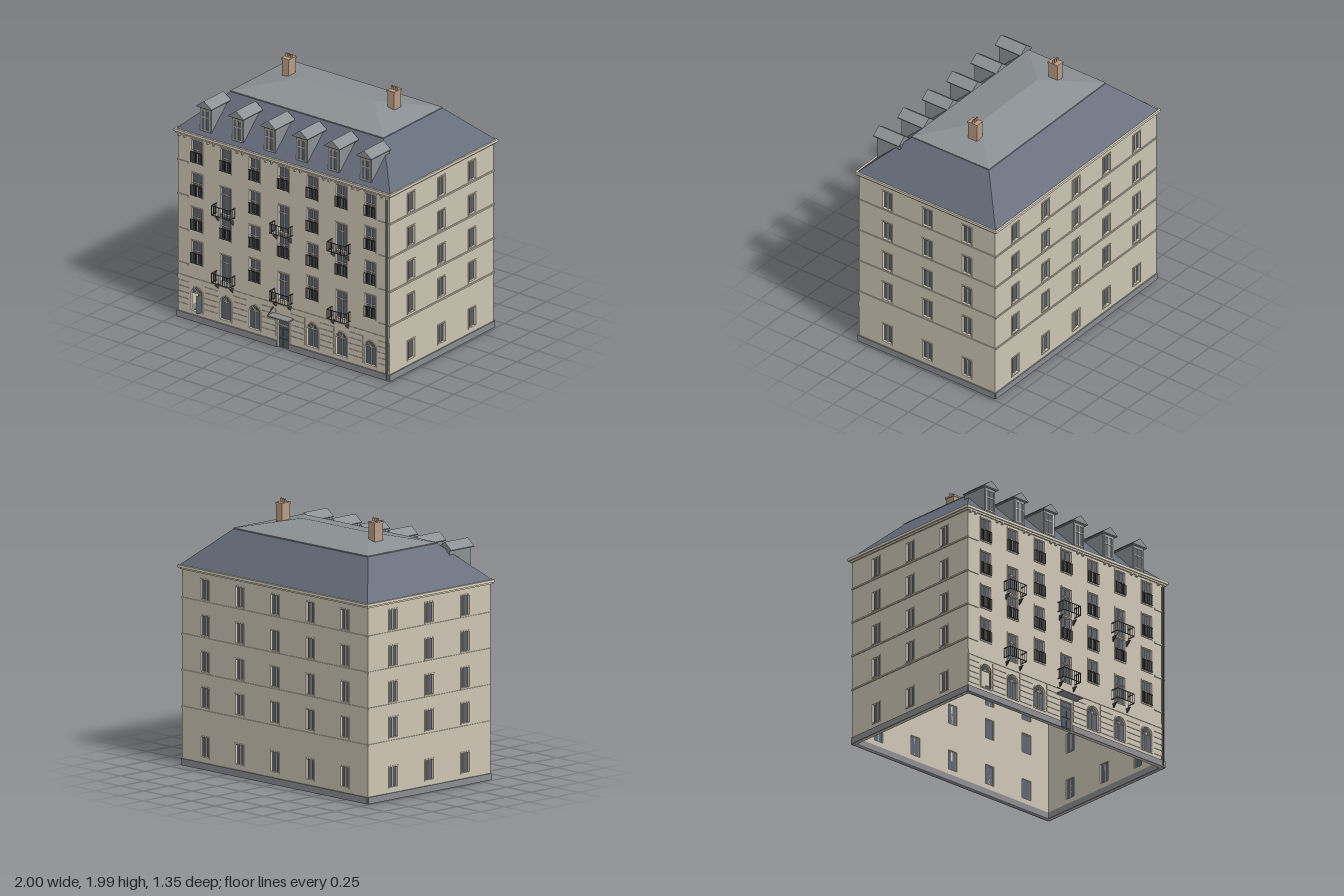
import * as THREE from 'three';

const mat = (name, color, side = THREE.FrontSide) => {
  const m = new THREE.MeshStandardMaterial({ color, side });
  m.name = name;
  return m;
};
const M = {
  wall: mat('cream render', 0xcdc5b4),
  trim: mat('pale trim', 0xd8d0be),
  stone: mat('grey stone', 0x8c8d91),
  slate: mat('slate', 0x636a78, THREE.DoubleSide),
  zinc: mat('zinc', 0x8a9093, THREE.DoubleSide),
  glass: mat('window glass', 0x5a6270, THREE.DoubleSide),
  brick: mat('chimney brick', 0xb89c86),
  iron: mat('wrought iron', 0x4c4b49),
  door: mat('door paint', 0x4f5764),
};
const HW = 0.977, HD = 0.625, T = 0.025, TOP = 1.47, CZ = -0.025;

function add(parent, name, geo, m, x = 0, y = 0, z = 0) {
  const mesh = new THREE.Mesh(geo, m);
  mesh.name = name;
  mesh.position.set(x, y, z);
  parent.add(mesh);
  return mesh;
}
const box = (p, name, m, w, h, d, x, y, z) => add(p, name, new THREE.BoxGeometry(w, h, d), m, x, y, z);

// Outline of an opening, square or round-headed, grown by g on all sides
function outline(Type, { x, y, w, h, arch }, g = 0) {
  const s = new Type(), r = w / 2 + g, top = y + h - (arch ? w / 2 : -g);
  s.moveTo(x - r, y - g);
  s.lineTo(x + r, y - g);
  s.lineTo(x + r, top);
  if (arch) s.absarc(x, top, r, 0, Math.PI, false);
  else s.lineTo(x - r, top);
  s.closePath();
  return s;
}
const extrude = (shape, depth) => new THREE.ExtrudeGeometry(shape, { depth, bevelEnabled: false, curveSegments: 10 });

// Surround, panes and glazing bars of one window; outer wall face is z = 0
function addWindow(p, o) {
  const { x, y, w, h, arch, open, bar = 0.008, transom } = o;
  const ring = outline(THREE.Shape, o, 0.005);
  ring.holes.push(outline(THREE.Path, o, -0.004));
  add(p, 'windowSurround', extrude(ring, 0.022), M.trim, 0, 0, -0.016);
  const spring = y + h - w / 2;
  if (open) {
    const head = { x, y: spring, w, h: w / 2, arch };
    add(p, 'fanlightGlass', new THREE.ShapeGeometry(outline(THREE.Shape, head)), M.glass, 0, 0, -0.014);
    // Casement standing open into the room
    const leaf = new THREE.Group();
    leaf.name = 'openCasement';
    leaf.position.set(x + w / 2, y, -0.012);
    leaf.rotation.y = 0.95;
    box(leaf, 'casementPane', M.glass, w / 2, spring - y, 0.004, -w / 4, (spring - y) / 2, 0);
    for (const u of [-w / 2, 0]) box(leaf, 'casementStile', M.trim, 0.006, spring - y, 0.008, u, (spring - y) / 2, 0);
    p.add(leaf);
  } else {
    add(p, 'windowGlass', new THREE.ShapeGeometry(outline(THREE.Shape, o)), M.glass, 0, 0, -0.014);
    box(p, 'mullion', M.trim, bar, arch ? spring - y : h, 0.008, x, y + (arch ? spring - y : h) / 2, -0.01);
  }
  if (arch) {
    box(p, 'transom', M.trim, w, 0.007, 0.008, x, spring, -0.01);
    for (const a of [45, 90, 135].map(THREE.MathUtils.degToRad)) {
      const l = w / 2;
      box(p, 'fanBar', M.trim, l, 0.005, 0.008, x + Math.cos(a) * l / 2, spring + Math.sin(a) * l / 2, -0.01).rotation.z = a;
    }
  } else if (transom) box(p, 'transom', M.trim, w, 0.007, 0.008, x, y + h * transom, -0.01);
}

// A straight railing running along x, centred
function railing(p, name, w, h, n, x, y, z, rotY = 0) {
  const g = new THREE.Group();
  g.name = name;
  g.position.set(x, y, z);
  g.rotation.y = rotY;
  for (const v of [0.004, h]) box(g, 'rail', M.iron, w, 0.005, 0.005, 0, v, 0);
  for (let i = 0; i <= n; i++) box(g, 'baluster', M.iron, 0.0035, h, 0.0035, (i / n - 0.5) * w, h / 2, 0);
  p.add(g);
}

function balcony(p, x, y) {
  railing(p, 'balconyFront', 0.165, 0.078, 8, x, y, 0.065);
  for (const s of [-1, 1]) {
    railing(p, 'balconySide', 0.065, 0.078, 3, x + s * 0.0825, y, 0.0325, Math.PI / 2);
    const tri = new THREE.Shape([[0, 0], [0, -0.04], [-0.042, 0]].map(a => new THREE.Vector2(...a)));
    add(p, 'balconyBracket', extrude(tri, 0.008), M.iron, x + s * 0.067 - 0.004, y - 0.022, 0).rotation.y = Math.PI / 2;
  }
}

// One facade: pierced wall, windows, string courses and plinth
function facade(parent, name, half, wallHalf, dist, rotY, wins, doorway) {
  const g = new THREE.Group();
  g.name = name;
  g.rotation.y = rotY;
  g.position.set(Math.sin(rotY) * dist, 0, CZ + Math.cos(rotY) * dist);
  const s = new THREE.Shape([[-wallHalf, 0], [wallHalf, 0], [wallHalf, TOP], [-wallHalf, TOP]].map(a => new THREE.Vector2(...a)));
  [...wins, ...(doorway ? [doorway] : [])].forEach(o => s.holes.push(outline(THREE.Path, o)));
  add(g, 'wall', extrude(s, T), M.wall, 0, 0, -T);
  wins.forEach(o => addWindow(g, o));
  if (doorway) {
    for (const e of [-1, 1]) box(g, 'plinth', M.stone, half - 0.055, 0.05, T + 0.01, e * (half + 0.06) / 2, 0.025, -0.008);
  } else box(g, 'plinth', M.stone, half * 2 + 0.005, 0.05, T + 0.01, 0, 0.025, -0.008);
  parent.add(g);
  return g;
}

// Four sloping faces between two rectangles [halfX, zBack, zFront, y]
function hip([ax, ab, af, ay], [bx, bb, bf, by]) {
  const ring = (x, b, f, y) => [[-x, y, f], [x, y, f], [x, y, b], [-x, y, b]];
  const lo = ring(ax, ab, af, ay), hi = ring(bx, bb, bf, by), pos = [];
  for (let i = 0; i < 4; i++) {
    const j = (i + 1) % 4;
    pos.push(...lo[i], ...lo[j], ...hi[j], ...lo[i], ...hi[j], ...hi[i]);
  }
  const geo = new THREE.BufferGeometry();
  geo.setAttribute('position', new THREE.Float32BufferAttribute(pos, 3));
  geo.computeVertexNormals();
  return geo;
}

export function createModel() {
  const root = new THREE.Group();
  root.name = 'apartmentHouse';

  // Front openings
  const cols = [-3, -2, -1, 0, 1, 2, 3], front = [], rails = [], balconies = [];
  for (const c of cols) {
    const x = c * 0.267, tall = c % 2 === 0;
    [1.26, 0.995, 0.72, 0.455].forEach((y, i) => {
      if (i % 2 && tall) {
        front.push({ x, y: y - 0.075, w: 0.1, h: 0.22, transom: 0.7 });
        balconies.push([x, y - 0.075]);
      } else {
        front.push({ x, y, w: 0.1, h: 0.187, transom: 0.55 });
        rails.push([x, y]);
      }
    });
    if (c) front.push({ x, y: 0.08, w: 0.106, h: 0.195, arch: true, open: c === -3 });
  }
  const doorway = { x: 0, y: 0.002, w: 0.106, h: 0.222 };
  const f = facade(root, 'frontFacade', HW, HW, HD, 0, front, doorway);
  rails.forEach(([x, y]) => railing(f, 'windowRailing', 0.106, 0.085, 9, x, y + 0.004, 0.008));
  balconies.forEach(([x, y]) => balcony(f, x, y));

  // Rusticated ground floor bands, broken by the openings
  for (const y of [0.1, 0.145, 0.19, 0.235, 0.28]) {
    for (let i = -3; i < 3; i++) box(f, 'rusticBand', M.wall, 0.128, 0.036, 0.004, (i + 0.5) * 0.267, y, 0.002);
    for (const s of [-1, 1]) box(f, 'rusticBand', M.wall, 0.1, 0.036, 0.004, s * 0.922, y, 0.002);
  }
  box(f, 'rusticBand', M.wall, HW * 2, 0.036, 0.004, 0, 0.325, 0.002);

  // Front door with frame, transom light and canopy
  box(f, 'doorLeaf', M.door, 0.1, 0.18, 0.008, 0, 0.09, -0.012);
  box(f, 'doorLight', M.glass, 0.1, 0.04, 0.004, 0, 0.203, -0.012);
  box(f, 'doorTransom', M.trim, 0.1, 0.006, 0.012, 0, 0.182, -0.008);
  box(f, 'doorHead', M.trim, 0.118, 0.008, 0.024, 0, 0.226, -0.006);
  for (const s of [-1, 1]) {
    box(f, 'doorJamb', M.trim, 0.008, 0.224, 0.024, s * 0.055, 0.112, -0.006);
    for (const y of [0.045, 0.125]) box(f, 'doorPanel', M.door, 0.036, 0.06, 0.006, s * 0.024, y, -0.006);
  }
  box(f, 'canopy', M.stone, 0.195, 0.009, 0.075, 0, 0.26, 0.0375);
  box(f, 'canopyTie', M.iron, 0.005, 0.005, 0.088, -0.093, 0.287, 0.037).rotation.x = 0.6;

  // Downpipe and corbels below the cornice
  add(f, 'downpipe', new THREE.CylinderGeometry(0.008, 0.008, 1.44, 8), M.iron, 0.955, 0.73, 0.007);
  for (let i = -3; i <= 4; i++) for (const d of [-0.025, 0.025]) {
    box(f, 'corbel', M.trim, 0.012, 0.018, 0.016, (i - 0.5) * 0.267 + d, 1.457, 0.008);
  }

  // Plain facades at the sides and back
  const grid = xs => xs.flatMap(x => [1.265, 0.995, 0.725, 0.46, 0.09].map(y => ({ x, y, w: 0.085, h: 0.155, bar: 0.013 })));
  const sideCols = [-0.365, 0, 0.365];
  facade(root, 'leftFacade', HD, HD - T, HW, Math.PI / 2, grid(sideCols));
  facade(root, 'rightFacade', HD, HD - T, HW, -Math.PI / 2, grid(sideCols));
  facade(root, 'backFacade', HW, HW, HD, Math.PI, grid([-0.735, -0.37, 0, 0.37, 0.735]));

  // String courses on the sides and back, short returns at the front corners
  for (const y of [1.25, 0.98, 0.71, 0.437]) {
    for (const s of [-1, 1]) {
      box(root, 'stringCourse', M.wall, 0.008, 0.012, HD * 2, s * (HW + 0.003), y, CZ);
      box(root, 'stringCourse', M.wall, 0.1, 0.012, 0.008, s * (HW - 0.05), y, HD + CZ + 0.002);
    }
    box(root, 'stringCourse', M.wall, HW * 2, 0.012, 0.008, 0, y, CZ - HD - 0.003);
  }

  // Stepped cornice
  box(root, 'lowerCornice', M.trim, HW * 2 + 0.022, 0.014, HD * 2 + 0.022, 0, 1.472, CZ);
  box(root, 'upperCornice', M.trim, 2, 0.02, 1.295, 0, 1.488, CZ - 0.003);

  // Mansard roof
  add(root, 'lowerRoof', hip([0.988, -0.662, 0.605, 1.497], [0.705, -0.385, 0.318, 1.77]), M.slate);
  box(root, 'roofCurb', M.zinc, 1.415, 0.01, 0.71, 0, 1.77, -0.0335);
  add(root, 'upperRoof', hip([0.708, -0.389, 0.322, 1.774], [0.35, -0.035, -0.035, 1.85]), M.zinc);

  // Dormers
  for (let i = 0; i < 6; i++) {
    const d = new THREE.Group();
    d.name = 'dormer';
    d.position.x = (i - 2.5) * 0.2955;
    box(d, 'dormerBody', M.zinc, 0.106, 0.2, 0.215, 0, 1.622, 0.4675);
    const gable = new THREE.Shape([[-0.07, 1.717], [0.07, 1.717], [0.07, 1.724], [0, 1.776], [-0.07, 1.724]].map(a => new THREE.Vector2(...a)));
    add(d, 'dormerRoof', extrude(gable, 0.235), M.zinc, 0, 0, 0.362);
    box(d, 'dormerGlass', M.glass, 0.078, 0.16, 0.004, 0, 1.617, 0.576);
    for (const x of [-0.039, 0, 0.039]) box(d, 'dormerFrame', M.trim, 0.008, 0.165, 0.008, x, 1.617, 0.578);
    for (const y of [1.536, 1.64, 1.698]) box(d, 'dormerFrame', M.trim, 0.084, 0.007, 0.008, 0, y, 0.578);
    root.add(d);
  }

  // Chimneys with three pots each
  for (const s of [-1, 1]) {
    const c = new THREE.Group();
    c.name = 'chimney';
    c.position.set(s * 0.487, 0, -0.095);
    box(c, 'chimneyStack', M.brick, 0.062, 0.16, 0.084, 0, 1.87, 0);
    box(c, 'chimneyCap', M.brick, 0.07, 0.014, 0.092, 0, 1.952, 0);
    for (const x of [-0.022, 0, 0.022]) {
      add(c, 'chimneyPot', new THREE.CylinderGeometry(0.007, 0.009, 0.03, 10), M.brick, x, 1.97, 0);
    }
    root.add(c);
  }
  return root;
}
